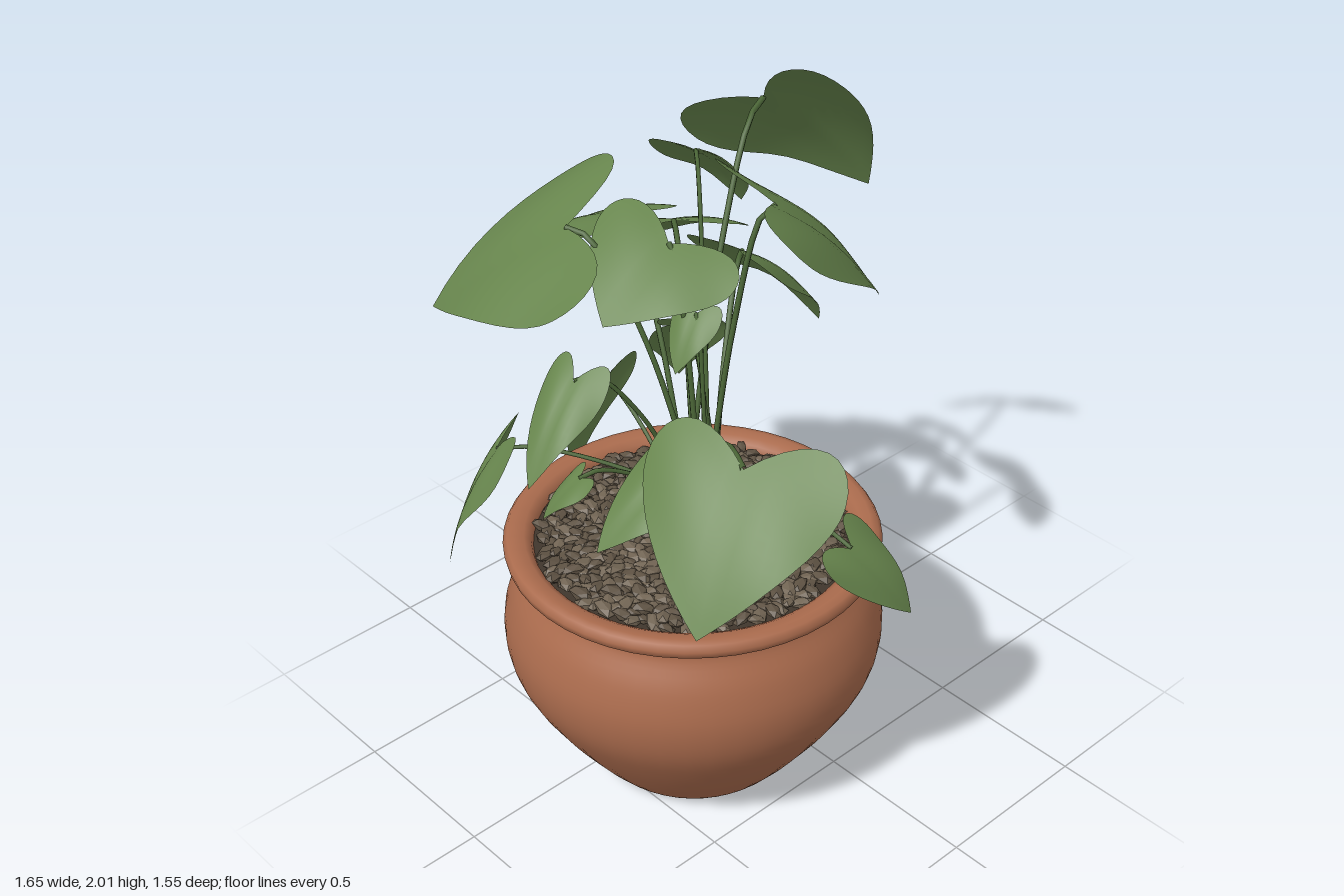
import * as THREE from 'three';
import { mergeGeometries } from 'three/addons/utils/BufferGeometryUtils.js';

const mat = (name, color, side = THREE.FrontSide) => {
  const m = new THREE.MeshStandardMaterial({ color, side });
  m.name = name;
  return m;
};
const POT = [0.11, 0, 0.22];
const CROWN = new THREE.Vector3(0.03, 0.77, 0.13);
const UP = new THREE.Vector3(0, 1, 0);

// Small seeded generator for the gravel and stem scatter
let seed = 7;
const rnd = () => (seed = (seed * 16807) % 2147483647) / 2147483647;

// Heart-shaped blade: columns across the width, each running from back edge to front edge.
// The blade lies level across its width unless rolled about its midrib.
function leafGeometry(base, tip, width, roll) {
  const dir = tip.clone().sub(base);
  const len = dir.length();
  dir.normalize();
  const side = dir.clone().cross(UP).normalize().applyAxisAngle(dir, -roll);
  const up = side.clone().cross(dir);
  const COLS = 20, ROWS = 10, pos = [], idx = [];
  for (let i = 0; i <= COLS; i++) {
    const s = Math.sin((i / COLS - 0.5) * Math.PI);
    const a = Math.min(1, Math.abs(s));
    const back = 0.05 * a - 0.65 * a * Math.sqrt(1 - a);
    const front = 0.08 + 0.92 * Math.pow(1 - a, 0.62);
    for (let j = 0; j <= ROWS; j++) {
      const u = back + (front - back) * j / ROWS;
      const h = len * (0.2 * u * (1 - u) + 0.05 * a - 0.12 * a * a + 0.025 * Math.sin(5 * u + 3 * s) * a);
      const p = base.clone().addScaledVector(dir, u * len)
        .addScaledVector(side, s * width / 2).addScaledVector(up, h);
      pos.push(p.x, p.y, p.z);
      if (i < COLS && j < ROWS) {
        const k = i * (ROWS + 1) + j, n = k + ROWS + 1;
        idx.push(k, k + 1, n, n, k + 1, n + 1);
      }
    }
  }
  const g = new THREE.BufferGeometry();
  g.setAttribute('position', new THREE.Float32BufferAttribute(pos, 3));
  g.setIndex(idx);
  g.computeVertexNormals();
  return g;
}

// Arching leaf stalk from the crown to the blade
function stemGeometry(base, thickness) {
  const start = CROWN.clone();
  start.x += (rnd() - 0.5) * 0.12;
  start.z += (rnd() - 0.5) * 0.12;
  const rise = base.y - start.y;
  const mid = start.clone().lerp(base, 0.42).setY(start.y + rise * 0.62 + 0.02);
  const near = start.clone().lerp(base, 0.82).setY(start.y + rise * 0.96 + 0.02);
  return new THREE.TubeGeometry(new THREE.CatmullRomCurve3([start, mid, near, base]), 16, thickness, 6);
}

// Each leaf: stalk joint, tip, width and, where it is tilted, roll
const LEAVES = [
  [[0.57, 1.35, 0.46], [0.68, 1.0, 0.73], 0.56],
  [[-0.38, 1.60, 0.25], [-0.78, 1.25, 0.45], 0.62, 0.4],
  [[-0.49, 1.49, -0.05], [-0.82, 1.30, -0.10], 0.36],
  [[-0.38, 1.47, -0.16], [-0.63, 1.27, -0.35], 0.45],
  [[-0.23, 1.85, -0.38], [-0.16, 1.46, -0.77], 0.53, 0.72],
  [[-0.20, 1.40, -0.27], [-0.23, 1.0, -0.64], 0.32],
  [[0.13, 1.75, -0.08], [0.20, 1.35, -0.44], 0.48, -0.2],
  [[-0.28, 1.74, -0.16], [-0.34, 1.47, -0.40], 0.28],
  [[-0.11, 1.60, 0.10], [-0.11, 1.43, 0.35], 0.48, 0.25],
  [[-0.15, 1.27, 0.43], [-0.11, 1.02, 0.64], 0.21],
  [[0.15, 1.07, 0.30], [0.07, 0.85, 0.55], 0.26, 0.3],
  [[-0.44, 0.93, 0.50], [-0.56, 0.50, 0.62], 0.21],
  [[-0.42, 1.0, 0.10], [-0.53, 0.64, 0.13], 0.28],
  [[0.61, 0.92, 0.08], [0.72, 0.68, -0.06], 0.20, -0.75],
  [[0.31, 0.95, 0.40], [0.34, 0.84, 0.48], 0.14],
  [[-0.12, 0.96, 0.45], [-0.17, 0.84, 0.55], 0.14],
  [[-0.28, 1.16, -0.12], [-0.41, 0.90, -0.20], 0.24],
  [[0.0, 1.42, 0.10], [0.02, 1.27, 0.20], 0.16],
  [[-0.10, 1.33, 0.04], [-0.17, 1.20, -0.05], 0.18],
];

export function createModel() {
  const root = new THREE.Group();
  root.name = 'pottedPlant';
  const terracotta = mat('terracotta', 0xaa6b4d);
  const leafGreen = mat('leafGreen', 0x67854d, THREE.DoubleSide);
  const stemGreen = mat('stemGreen', 0x4b6637);
  const soilBrown = mat('soilBrown', 0x3f362c);
  const stones = [mat('darkStone', 0x5e5243), mat('lightStone', 0x716453)];
  const add = (name, geometry, material, parent = root) => {
    const m = new THREE.Mesh(geometry, material);
    m.name = name;
    parent.add(m);
    return m;
  };

  // Pot: rounded belly, narrow neck and rolled rim
  const points = (list) => list.map(([r, y]) => new THREE.Vector2(r, y));
  const belly = new THREE.SplineCurve(points([[0.29, 0], [0.31, 0.015], [0.385, 0.11], [0.48, 0.25], [0.547, 0.38],
    [0.563, 0.5], [0.537, 0.61], [0.495, 0.69], [0.487, 0.72]])).getPoints(32);
  const rim = points([[0.497, 0.735], [0.53, 0.745], [0.548, 0.76], [0.552, 0.78], [0.54, 0.797],
    [0.52, 0.802], [0.49, 0.798], [0.47, 0.785], [0.462, 0.76], [0.46, 0.7]]);
  add('pot', new THREE.LatheGeometry([...belly, ...rim], 48), terracotta).position.set(...POT);
  const bottom = add('potBottom', new THREE.CircleGeometry(0.29, 48), terracotta);
  bottom.rotation.x = Math.PI / 2;
  bottom.position.set(...POT);

  // Soil bed with a layer of pebbles
  const soil = add('soil', new THREE.CircleGeometry(0.464, 48), soilBrown);
  soil.rotation.x = -Math.PI / 2;
  soil.position.set(POT[0], 0.765, POT[2]);
  const pebbles = [[], []];
  const COUNT = 620;
  for (let i = 0; i < COUNT; i++) {
    const r = 0.445 * Math.sqrt((i + 0.5) / COUNT), a = i * 2.39996;
    const g = new THREE.IcosahedronGeometry(1, 0);
    const size = 0.85 + rnd() * 0.4;
    g.scale(0.034 * size, 0.014 * size, 0.02 * size);
    g.rotateZ((rnd() - 0.5) * 0.6);
    g.rotateY(rnd() * Math.PI);
    g.translate(POT[0] + r * Math.cos(a), 0.77 + rnd() * 0.018, POT[2] + r * Math.sin(a));
    pebbles[rnd() < 0.6 ? 0 : 1].push(g);
  }
  pebbles.forEach((list, i) => add(i ? 'lightPebbles' : 'darkPebbles', mergeGeometries(list), stones[i]));

  // Leaves on arching stalks
  const foliage = new THREE.Group();
  foliage.name = 'foliage';
  root.add(foliage);
  for (const [joint, end, width, roll = 0] of LEAVES) {
    const base = new THREE.Vector3(...joint);
    const tip = new THREE.Vector3(...end);
    add('leaf', leafGeometry(base, tip, width, roll), leafGreen, foliage);
    add('stem', stemGeometry(base, width > 0.3 ? 0.009 : 0.007), stemGreen, foliage);
  }
  return root;
}
